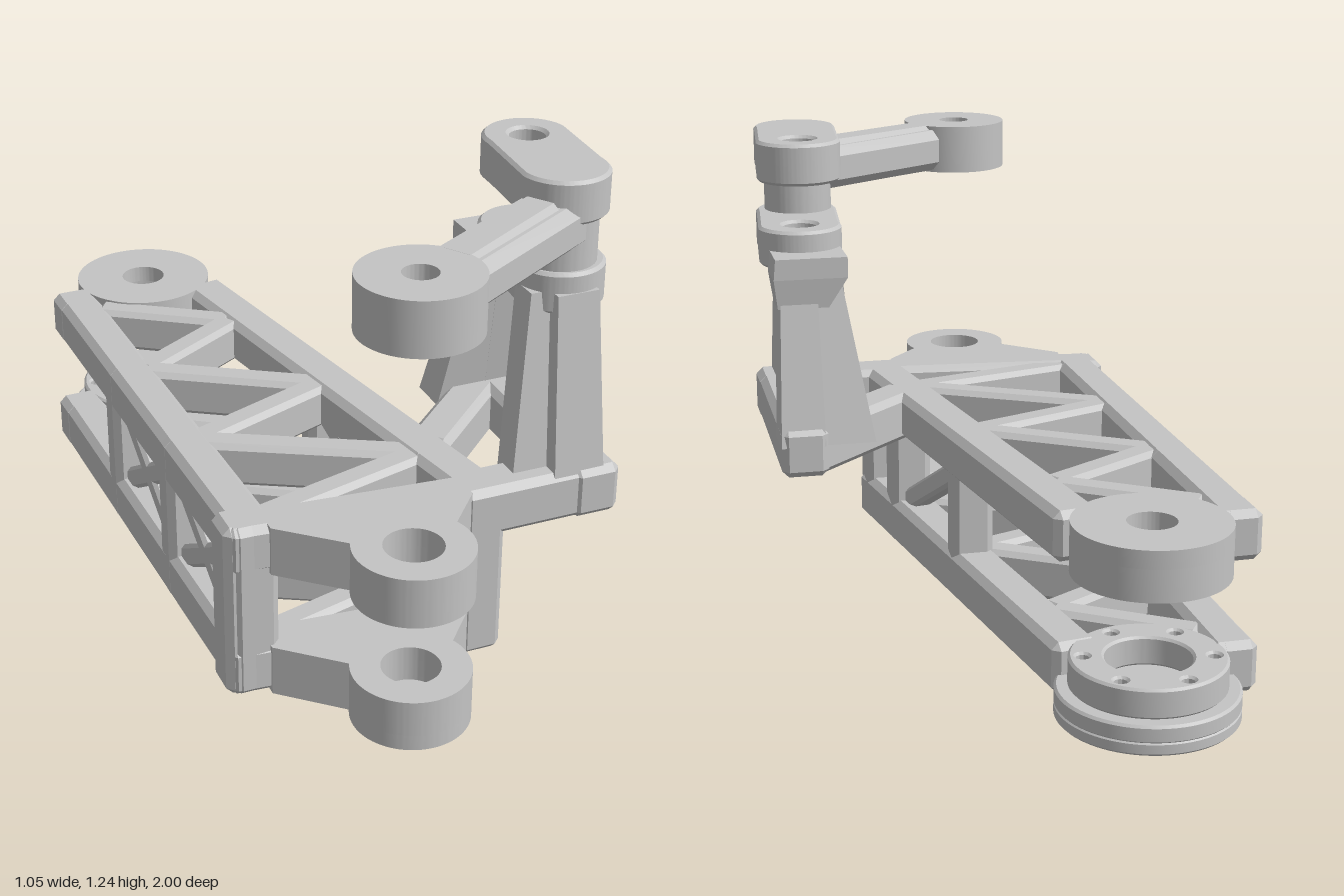
import * as THREE from 'three';
import { toCreasedNormals } from 'three/addons/utils/BufferGeometryUtils.js';
import { ConvexGeometry } from 'three/addons/geometries/ConvexGeometry.js';

const V = (x, y, z) => new THREE.Vector3(x, y, z);

export function createModel() {
  const model = new THREE.Group();
  model.name = 'linkageFrame';
  const grey = new THREE.MeshStandardMaterial({ color: 0xc4c4c4 });
  grey.name = 'plain grey';

  function add(name, geometry) {
    const mesh = new THREE.Mesh(geometry, grey);
    mesh.name = name;
    model.add(mesh);
    return mesh;
  }

  // Chamfered beam between two points, w across and h along the hint direction
  function beam(name, a, b, w, h, c = 0.018, hint = V(0, 1, 0)) {
    const d = b.clone().sub(a).normalize();
    const side = d.clone().cross(hint).normalize();
    const up = side.clone().cross(d);
    const pts = [];
    for (const [end, dir] of [[a, 1], [b, -1]])
      for (const s of [-1, 1])
        for (const t of [-1, 1])
          for (const [dw, dh, dl] of [[0, c, c], [c, 0, c], [c, c, 0]])
            pts.push(end.clone()
              .addScaledVector(side, s * (w / 2 - dw))
              .addScaledVector(up, t * (h / 2 - dh))
              .addScaledVector(d, dir * dl));
    return add(name, new ConvexGeometry(pts));
  }

  // Tapered solid through rectangles [y, x0, x1, z0, z1]
  function taper(name, ...levels) {
    const pts = [];
    for (const [y, x0, x1, z0, z1] of levels)
      pts.push(V(x0, y, z0), V(x1, y, z0), V(x0, y, z1), V(x1, y, z1));
    return add(name, new ConvexGeometry(pts));
  }

  // Horizontal plate from a shape drawn in (x, -z)
  function plate(name, shape, y0, y1, bevel = 0) {
    const g = new THREE.ExtrudeGeometry(shape, {
      depth: y1 - y0 - 2 * bevel, curveSegments: 40, bevelEnabled: bevel > 0,
      bevelThickness: bevel, bevelSize: bevel, bevelOffset: -bevel, bevelSegments: 1,
    });
    g.rotateX(-Math.PI / 2).translate(0, y0 + bevel, 0);
    return add(name, toCreasedNormals(g, 0.5));
  }

  const circle = (x, z, r, type = THREE.Shape) => new type().absarc(x, -z, r, 0, Math.PI * 2, false);

  function disc(name, x, z, r, y0, y1, hole = 0, bevel = 0, bolts = false) {
    const s = circle(x, z, r);
    if (hole) s.holes.push(circle(x, z, hole, THREE.Path));
    if (bolts) for (let i = 0; i < 6; i++) {
      const t = i * Math.PI / 3 + 0.2;
      s.holes.push(circle(x + 0.155 * Math.cos(t), z + 0.155 * Math.sin(t), 0.016, THREE.Path));
    }
    return plate(name, s, y0, y1, bevel);
  }

  const HUB = [-0.245, -0.78], EYE = [-0.125, 0.855];
  const leftX = (z) => -0.466 + 0.026 * (z + 0.77);
  const rightX = (z) => 0.02 + 0.178 * z;

  // Two matching truss layers
  for (const [layer, y0, y1] of [['lower', 0.045, 0.178], ['upper', 0.383, 0.51]]) {
    const y = (y0 + y1) / 2, h = y1 - y0;
    beam(layer + 'LeftRail', V(leftX(-0.77), y, -0.77), V(leftX(0.65), y, 0.65), 0.115, h);
    beam(layer + 'LeftRailEnd', V(-0.475, y, -0.77), V(-0.472, y, -0.66), 0.1, h);
    beam(layer + 'RightRail', V(rightX(-0.68), y, -0.68), V(rightX(0.69), y, 0.69), 0.122, h);
    beam(layer + 'FrontRail', V(-0.495, y, 0.6), V(0.16, y, 0.655), 0.1, h);
    // Zigzag bracing
    const nodes = [[-0.42, -0.645], [-0.1, -0.43], [-0.42, -0.235], [-0.01, 0.02],
      [-0.42, 0.18], [0.08, 0.45], [-0.42, 0.585]];
    for (let i = 0; i + 1 < nodes.length; i++)
      beam(layer + 'Brace', V(nodes[i][0], y, nodes[i][1]), V(nodes[i + 1][0], y, nodes[i + 1][1]),
        0.078, h - 0.01, 0.014);
    // Front clevis eye
    const s = new THREE.Shape();
    s.moveTo(0.1, -0.64);
    s.lineTo(-0.4, -0.64);
    s.lineTo(-0.4, -0.665);
    s.absarc(EYE[0], -EYE[1], 0.145, Math.PI * 0.86, Math.PI * 2.12, false);
    s.lineTo(0.1, -0.7);
    s.closePath();
    const split = layer === 'lower' ? y0 + 0.04 : y0;
    const bottom = s.clone();
    s.holes.push(circle(...EYE, 0.072, THREE.Path));
    plate(layer + 'FrontEye', s, split, y1);
    if (split > y0) {
      bottom.holes.push(circle(...EYE, 0.042, THREE.Path));
      plate('lowerFrontEyeFloor', bottom, y0, split);
    }
  }

  // Upper and lower rear hubs
  disc('upperHubTop', ...HUB, 0.19, 0.465, 0.51, 0.06);
  disc('upperHubRing', ...HUB, 0.19, 0.385, 0.465, 0.105);
  disc('lowerHubRing', ...HUB, 0.19, 0.1, 0.175, 0.105, 0.006, true);
  disc('lowerHubFlange', ...HUB, 0.222, 0.055, 0.1, 0, 0.006);
  disc('lowerHubBase', ...HUB, 0.222, 0.025, 0.06, 0, 0.006, true);
  disc('lowerHubBoss', ...HUB, 0.12, 0, 0.03, 0, 0.005);

  // Posts and side bracing
  const post = (name, x, z, w, d) => beam(name, V(x, 0.045, z), V(x, 0.51, z), w, d, 0.018, V(0, 0, 1));
  const leftPosts = [-0.265, 0.16, 0.59], rightPosts = [-0.02, 0.44, 0.65];
  leftPosts.forEach((z, i) => post('leftPost', leftX(z), z, 0.115, i === 2 ? 0.13 : 0.09));
  post('leftCornerPost', -0.44, 0.59, 0.13, 0.11);
  rightPosts.forEach((z, i) => post('rightPost', rightX(z), z, 0.112, i === 0 ? 0.08 : 0.115));
  const brace = (fx, z0, z1, up) => beam('sideBrace',
    V(fx(z0), up ? 0.15 : 0.41, z0), V(fx(z1), up ? 0.41 : 0.15, z1), 0.06, 0.06, 0.01);
  for (let i = 0; i < 2; i++)
    for (const up of [true, false]) brace(leftX, leftPosts[i], leftPosts[i + 1], up);
  brace(rightX, rightPosts[0], rightPosts[1], false);

  // Tower base
  const by = 0.443, bh = 0.134;
  beam('towerBaseFront', V(0.12, by, 0.645), V(0.5, by, 0.645), 0.125, bh);
  beam('towerBaseSide', V(0.44, by, 0.065), V(0.435, by, 0.715), 0.125, bh);
  beam('towerBaseBack', V(0.11, by, 0.42), V(0.43, by, 0.12), 0.115, bh);

  // Tower legs, each a column with a side rib
  taper('frontLeg', [0.46, 0.32, 0.455, 0.59, 0.705], [0.96, 0.33, 0.44, 0.545, 0.65]);
  taper('frontLegRib', [0.46, 0.225, 0.36, 0.58, 0.66], [0.96, 0.28, 0.36, 0.53, 0.61]);
  taper('backLeg', [0.46, 0.385, 0.503, 0.07, 0.19], [0.92, 0.39, 0.485, 0.155, 0.25]);
  taper('backLegRib', [0.46, 0.25, 0.41, 0.08, 0.19], [0.93, 0.33, 0.41, 0.18, 0.25]);
  taper('backLegHead', [0.82, 0.36, 0.495, 0.14, 0.23], [0.9, 0.31, 0.505, 0.13, 0.26],
    [0.955, 0.31, 0.5, 0.13, 0.27]);

  // Rounded links holding the pivot pin
  const A = [0.41, 0.315], B = [0.39, 0.535], r = 0.112;
  const lean = Math.atan2(A[0] - B[0], B[1] - A[1]);
  for (const [name, y0, y1] of [['lowerLink', 0.905, 1.01], ['upperLink', 1.13, 1.24]]) {
    const s = new THREE.Shape();
    s.absarc(A[0], -A[1], r, lean, Math.PI + lean, false);
    s.absarc(B[0], -B[1], r, Math.PI + lean, 2 * Math.PI + lean, false);
    s.closePath();
    s.holes.push(circle(...A, 0.045, THREE.Path));
    plate(name, s, y0, y1, 0.008);
  }
  disc('pivotPin', 0.385, 0.54, 0.092, 1.0, 1.14);

  // Swinging arm
  disc('armEye', ...EYE, 0.145, 1.057, 1.19, 0.042);
  beam('swingArm', V(-0.03, 1.122, 0.8), V(0.385, 1.118, 0.545), 0.165, 0.115, 0.025);
  beam('swingArmRoot', V(-0.02, 1.124, 0.795), V(0.31, 1.124, 0.59), 0.1, 0.133, 0.015);

  return model;
}
